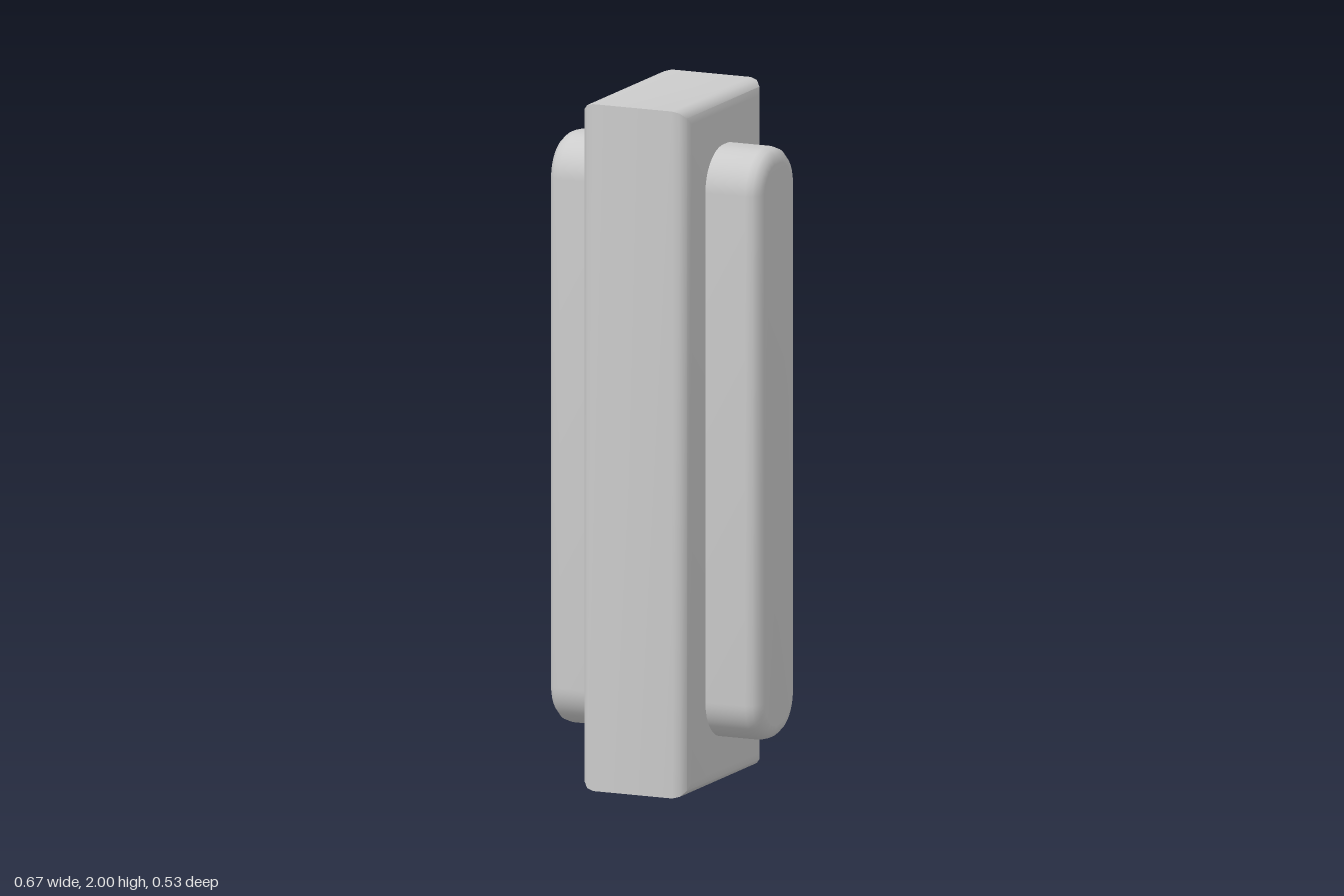
import * as THREE from 'three';
import { toCreasedNormals } from 'three/addons/utils/BufferGeometryUtils.js';

const BEVEL = 0.042;

// Outline in the z-y plane, with optional rounded corners
function outline(w, h, r) {
  const x = w / 2, y = h / 2, s = new THREE.Shape();
  if (!r) {
    s.moveTo(-x, -y).lineTo(x, -y).lineTo(x, y).lineTo(-x, y);
    return s;
  }
  s.absarc(x - r, y - r, r, 0, Math.PI / 2);
  s.absarc(-x + r, y - r, r, Math.PI / 2, Math.PI);
  s.absarc(-x + r, -y + r, r, Math.PI, Math.PI * 1.5);
  s.absarc(x - r, -y + r, r, Math.PI * 1.5, Math.PI * 2);
  return s;
}

// Slab extruded across x with softly bevelled side faces; sizes are overall
function slab(name, width, height, depth, r) {
  const shape = outline(depth - 2 * BEVEL, height - 2 * BEVEL, r && r - BEVEL);
  const geo = new THREE.ExtrudeGeometry(shape, {
    depth: width - 2 * BEVEL,
    bevelEnabled: true,
    bevelThickness: BEVEL,
    bevelSize: BEVEL,
    bevelSegments: 3,
    curveSegments: 6,
  });
  geo.translate(0, 0, -(width / 2 - BEVEL));
  geo.rotateY(Math.PI / 2);
  const mesh = new THREE.Mesh(
    toCreasedNormals(geo, 0.7),
    new THREE.MeshStandardMaterial({ color: 0xcccccc })
  );
  mesh.name = name;
  mesh.position.y = 1;
  return mesh;
}

export function createModel() {
  const group = new THREE.Group();
  group.name = 'block';
  // Tall central body
  group.add(slab('body', 0.333, 2, 0.533, 0));
  // Round-ended bar passing through the body, standing out on both sides
  group.add(slab('sideBar', 0.667, 1.72, 0.266, 0.12));
  return group;
}
